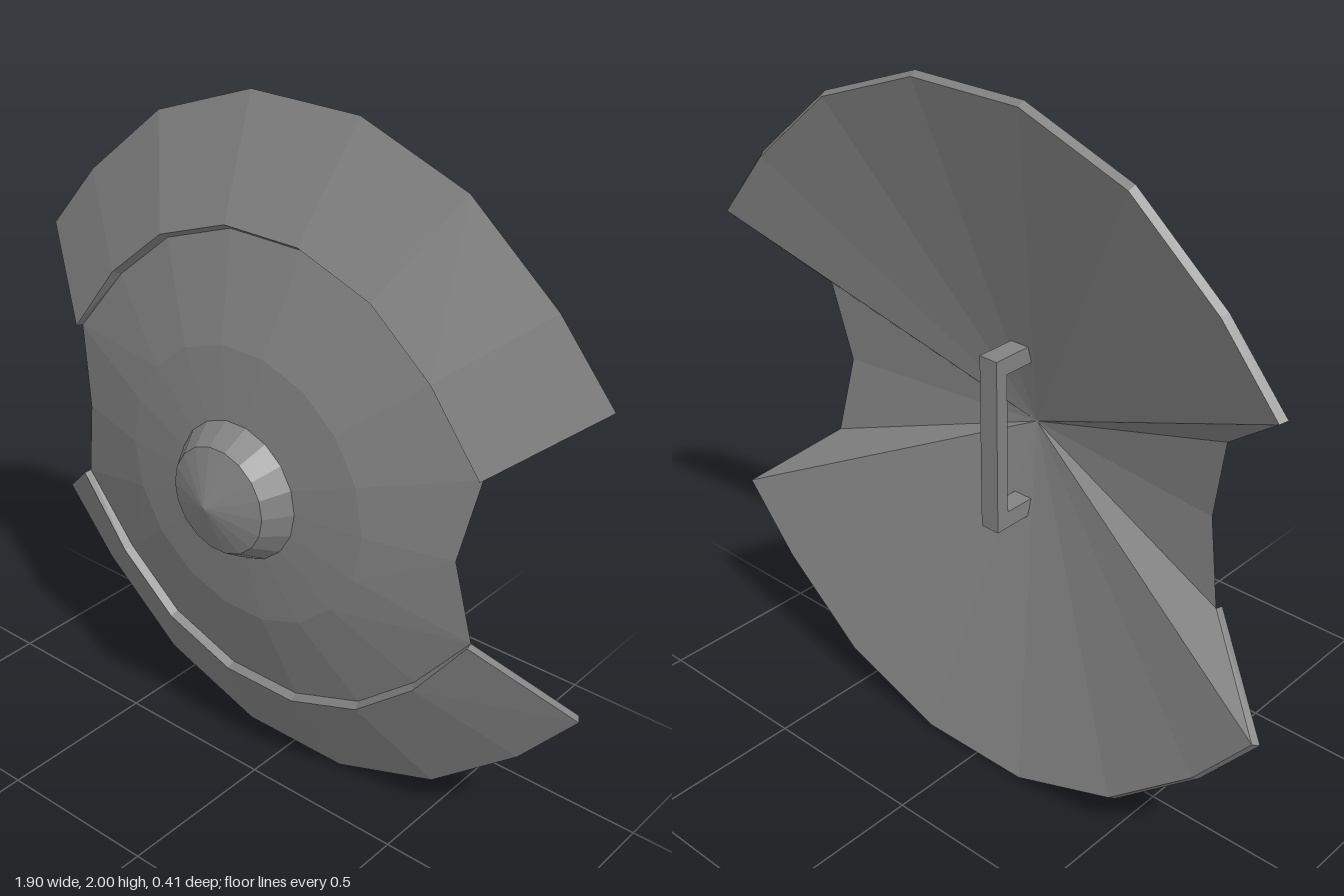
import * as THREE from 'three';

const SIDES = 18;
const material = new THREE.MeshStandardMaterial({ color: 0x828282, flatShading: true });

// Point on the shield: radius r, depth z, in direction number j
function polar(r, z, j) {
  const a = (j * Math.PI * 2) / SIDES;
  return [r * Math.cos(a), r * Math.sin(a), z];
}

function meshFrom(name, triangles) {
  const geometry = new THREE.BufferGeometry();
  geometry.setAttribute('position', new THREE.Float32BufferAttribute(triangles.flat(2), 3));
  geometry.computeVertexNormals();
  const mesh = new THREE.Mesh(geometry, material);
  mesh.name = name;
  return mesh;
}

// Join neighbouring cross-sections; each runs outward on the front, inward on the back
function skin(sections) {
  const triangles = [];
  for (let j = 0; j + 1 < sections.length; j++) {
    const a = sections[j], b = sections[j + 1];
    for (let k = 0; k + 1 < a.length; k++) {
      triangles.push([a[k], a[k + 1], b[k + 1]], [a[k], b[k + 1], b[k]]);
    }
  }
  return triangles;
}

// Full turn of a radius/depth profile
function revolve(profile) {
  return skin(Array.from({ length: SIDES + 1 }, (_, j) => profile.map(([r, z]) => polar(r, z, j))));
}

const BACK_CENTRE = [0, 0, 0.062];

// Disc edge: pulled in at the sides, drawn out at the notch corners
function discEdge(j) {
  const s = j % 9;
  if (s === 0) return polar(0.65, -0.017, j);
  if (s === 1) return polar(0.737, -0.042, j - 0.05);
  if (s === 8) return polar(0.737, -0.042, j + 0.05);
  return polar(0.69, -0.042, j);
}

// Cross-section of the flared wing in direction j (1 to 8)
function wingSection(j) {
  const tip = j === 1 || j === 8;
  const sx = j === 1 ? 1 : -1;
  const inner = tip ? [0.7 * sx, 0.243, -0.02] : polar(0.705, -0.02, j);
  const outer = tip ? [0.95 * sx, 0.45, -0.188] : polar(1.016, -0.188, j);
  const back = tip ? [0.938 * sx, 0.443, -0.206] : polar(1.003, -0.206, j);
  return [discEdge(j), inner, outer, back, BACK_CENTRE];
}

function createWing(name) {
  const sections = Array.from({ length: 8 }, (_, i) => wingSection(i + 1));
  const triangles = skin(sections);
  // End walls at the side notches
  const first = sections[0], last = sections[7];
  for (let k = 1; k < 4; k++) {
    triangles.push([first[0], first[k + 1], first[k]], [last[0], last[k], last[k + 1]]);
  }
  return meshFrom(name, triangles);
}

function createDisc() {
  const sections = [];
  for (let j = 0; j <= SIDES; j++) {
    sections.push([[0, 0, 0.08], polar(0.2, 0.075, j), polar(0.405, 0.05, j), discEdge(j)]);
  }
  const triangles = skin(sections);
  // Back of the disc inside the two notches
  for (const j of [0, 8, 9, 17]) triangles.push([discEdge(j), BACK_CENTRE, discEdge(j + 1)]);
  return meshFrom('disc', triangles);
}

function createHandle() {
  const handle = new THREE.Group();
  handle.name = 'handle';
  const add = (name, h, d, y, z) => {
    const mesh = new THREE.Mesh(new THREE.BoxGeometry(0.06, h, d), material);
    mesh.name = name;
    mesh.position.set(0, y, z);
    handle.add(mesh);
  };
  add('grip', 0.52, 0.04, 0, -0.11);
  for (const s of [1, -1]) add(s > 0 ? 'upperArm' : 'lowerArm', 0.05, 0.1, s * 0.235, -0.04);
  return handle;
}

export function createModel() {
  const shield = new THREE.Group();
  shield.name = 'shield';
  const upperWing = createWing('upperWing');
  const lowerWing = createWing('lowerWing');
  lowerWing.rotation.z = Math.PI;
  const boss = meshFrom('boss', revolve([[0, 0.206], [0.155, 0.15], [0.205, 0.07]]));
  shield.add(createDisc(), upperWing, lowerWing, boss, createHandle());
  shield.position.y = 1;

  const model = new THREE.Group();
  model.add(shield);
  return model;
}
